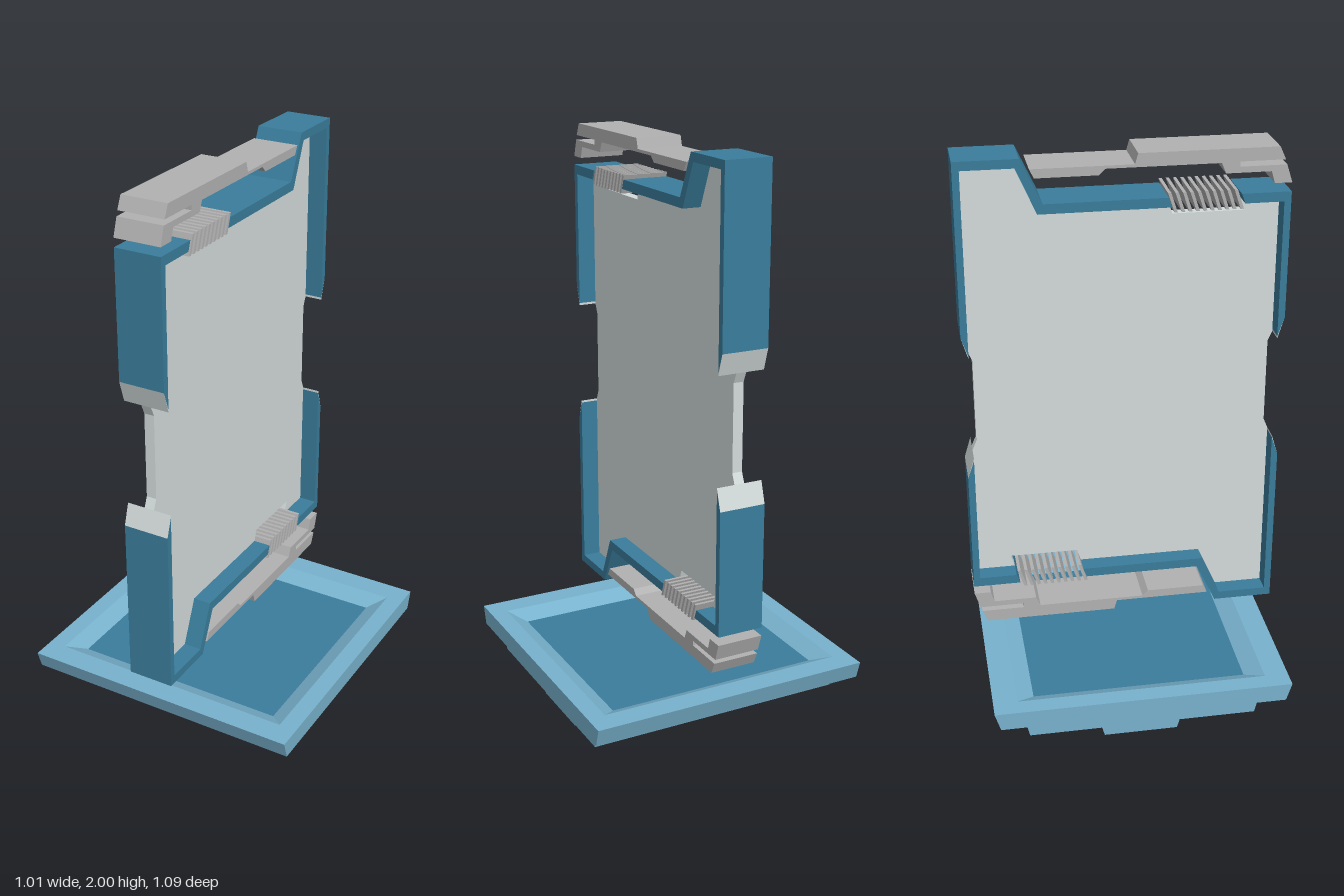
import * as THREE from 'three';

const HALF = 0.082;    // half thickness of the rim and clips
const PANEL = 0.018;   // half thickness of the glass panel
const MID = 1.15;      // height of the centre of the half-turn symmetry

const mat = (color) => new THREE.MeshStandardMaterial({ color, flatShading: true });
const blue = mat(0x3a7d9c), paleBlue = mat(0x78b2cd), grey = mat(0xb2b2b2), glass = mat(0xd3dcdb);

// Prism from a side profile of [z, y] points, centred on x = 0
function prism(name, points, half, material) {
  const shape = new THREE.Shape(points.map(([z, y]) => new THREE.Vector2(z, y)));
  const geo = new THREE.ExtrudeGeometry(shape, { depth: 2 * half, bevelEnabled: false });
  geo.translate(0, 0, -half);
  geo.rotateY(-Math.PI / 2);
  const mesh = new THREE.Mesh(geo, material);
  mesh.name = name;
  return mesh;
}

// Surface through stacked rectangles [half x, half z, y], with caps where asked
function rectLoft(name, loops, capStart, capEnd, material) {
  const corners = ([x, z, y]) => [[x, y, z], [x, y, -z], [-x, y, -z], [-x, y, z]];
  const pos = [];
  const quad = (a, b, c, d) => pos.push(...a, ...b, ...c, ...a, ...c, ...d);
  const rings = loops.map(corners);
  for (let k = 0; k + 1 < rings.length; k++) {
    for (let i = 0; i < 4; i++) {
      const j = (i + 1) % 4;
      quad(rings[k][i], rings[k][j], rings[k + 1][j], rings[k + 1][i]);
    }
  }
  if (capStart) quad(...[...rings[0]].reverse());
  if (capEnd) quad(...rings[rings.length - 1]);
  const geo = new THREE.BufferGeometry();
  geo.setAttribute('position', new THREE.Float32BufferAttribute(pos, 3));
  geo.computeVertexNormals();
  const mesh = new THREE.Mesh(geo, material);
  mesh.name = name;
  return mesh;
}

// Upper half of the rim with its clip and vent
function rimHalf(name) {
  const g = new THREE.Group();
  g.name = name;

  g.add(prism('shortRim', [
    [0.545, 1.41], [0.545, 1.85], [0.38, 1.85], [0.392, 1.817], [0.522, 1.817], [0.522, 1.343],
  ], HALF, blue));
  g.add(prism('longRim', [
    [0.14, 1.85], [-0.265, 1.85], [-0.335, 2], [-0.545, 2], [-0.545, 1.41], [-0.522, 1.343],
    [-0.522, 1.97], [-0.35, 1.97], [-0.283, 1.817], [0.152, 1.817],
  ], HALF, blue));

  // Pale bevelled ends of the rim
  for (const s of [1, -1]) {
    g.add(prism('rimEnd', [[s * 0.545, 1.41], [s * 0.522, 1.343], [s * 0.522, 1.335]], HALF, glass));
  }

  // Floating clip with a slit at its thick end
  g.add(prism('clip', [
    [0.50, 2], [0.04, 2], [0.03, 1.965], [-0.305, 1.965], [-0.29, 1.935], [-0.085, 1.935],
    [-0.065, 1.955], [0.31, 1.955], [0.325, 1.92], [0.475, 1.92], [0.487, 1.88], [0.545, 1.88],
    [0.525, 1.94], [0.37, 1.94], [0.37, 1.957], [0.52, 1.957],
  ], HALF, grey));

  // Slanted vent slats in the gap of the rim
  for (let i = 0; i < 10; i++) {
    const z = 0.366 - i * 0.0242;
    g.add(prism('ventSlat', [
      [z + 0.022, 1.80], [z, 1.865], [z - 0.011, 1.865], [z + 0.011, 1.80],
    ], HALF, grey));
  }
  return g;
}

export function createModel() {
  const model = new THREE.Group();
  model.name = 'screenOnStand';

  // Panel outline: upper half, then the same turned half a circle
  const upper = [
    [0.507, 1.30], [0.522, 1.335], [0.522, 1.817], [0.392, 1.817], [0.405, 1.775], [0.165, 1.775],
    [0.152, 1.817], [-0.283, 1.817], [-0.35, 1.97], [-0.522, 1.97], [-0.522, 1.335], [-0.507, 1.30],
  ];
  const lower = upper.map(([z, y]) => [-z, 2 * MID - y]);
  model.add(prism('panel', [...upper, ...lower], PANEL, glass));

  const bottom = rimHalf('lowerRim');
  bottom.rotation.x = Math.PI;
  bottom.position.y = 2 * MID;
  model.add(rimHalf('upperRim'), bottom);

  // Stepped stand with a shallow tray on top
  const stand = new THREE.Group();
  stand.name = 'stand';
  stand.add(
    rectLoft('foot', [[0.42, 0.13, 0], [0.42, 0.15, 0.07]], true, true, paleBlue),
    rectLoft('middleStep', [[0.465, 0.398, 0.07], [0.465, 0.415, 0.14]], true, true, paleBlue),
    rectLoft('tray', [
      [0.507, 0.5, 0.14], [0.507, 0.52, 0.205], [0.445, 0.437, 0.205], [0.387, 0.375, 0.175],
    ], true, false, paleBlue),
  );
  const floor = new THREE.Mesh(new THREE.PlaneGeometry(0.774, 0.75).rotateX(-Math.PI / 2), blue);
  floor.name = 'trayFloor';
  floor.position.y = 0.175;
  stand.add(floor);
  model.add(stand);

  return model;
}
